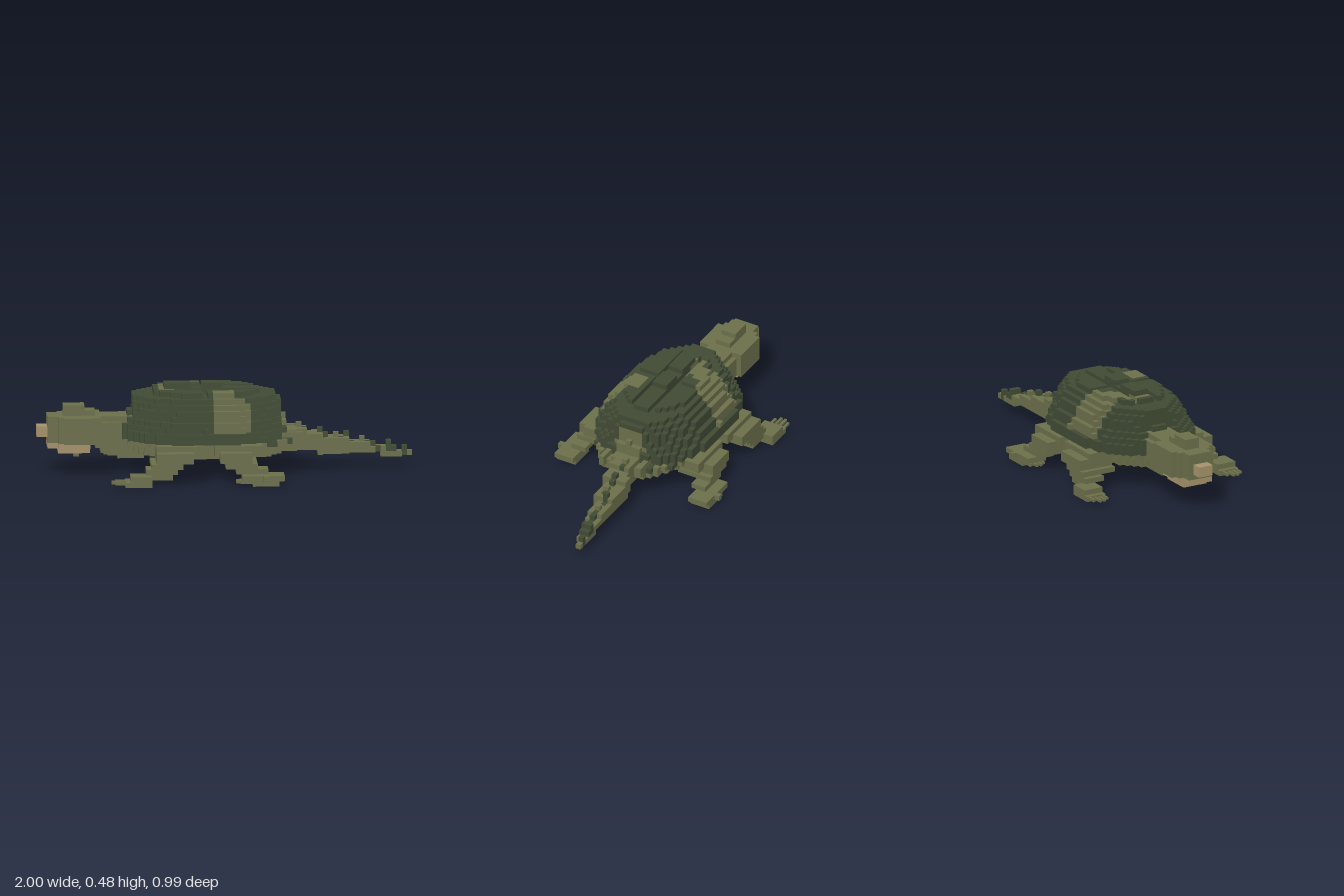
import * as THREE from 'three';
import { mergeGeometries } from 'three/addons/utils/BufferGeometryUtils.js';

const U = 2 / 71; // edge of one cube

export function createModel() {
  const model = new THREE.Group();
  const mats = {
    skin: new THREE.MeshStandardMaterial({ color: 0x6b6f4a, name: 'oliveSkin' }),
    shell: new THREE.MeshStandardMaterial({ color: 0x404a34, name: 'darkShell' }),
    tan: new THREE.MeshStandardMaterial({ color: 0xa5926a, name: 'tanHorn' }),
  };

  // Grid of cubes; each cell remembers its part and colour
  const cells = new Map();
  const key = (i, j, k) => `${i},${j},${k}`;
  function fill(part, [x0, x1, y0, y1, z0, z1], colour) {
    const pick = typeof colour === 'function' ? colour : () => colour;
    for (let i = 0; i < 71; i++) {
      const x = -1 + (i + 0.5) * U;
      if (x < x0 || x > x1) continue;
      for (let j = 0; j < 17; j++) {
        const y = (j + 0.5) * U;
        if (y < y0 || y > y1) continue;
        for (let k = -18; k <= 18; k++) {
          const z = k * U;
          if (z < z0 || z > z1) continue;
          const c = pick(x, y, z);
          if (c) cells.set(key(i, j, k), { i, j, k, part, c });
        }
      }
    }
  }
  const oval = (x, z, x0, x1, az, p = 2.2) =>
    Math.abs((x - (x0 + x1) / 2) / ((x1 - x0) / 2)) ** p + Math.abs(z / az) ** p < 1;

  // Body, with a tan ring and an olive centre underneath
  fill('body', [-0.6, 0.45, 0.14, 0.2, -0.3, 0.3], (x, y, z) =>
    oval(x, z, -0.56, 0.4, y < 0.17 ? 0.27 : 0.3) && 'skin');
  fill('bodyRim', [-0.6, 0.45, 0.113, 0.14, -0.3, 0.3], (x, y, z) =>
    oval(x, z, -0.5, 0.32, 0.25) && 'skin');
  fill('plastron', [-0.6, 0.4, 0.113, 0.14, -0.3, 0.3], (x, y, z) =>
    oval(x, z, -0.45, 0.26, 0.21) && 'tan');
  fill('plastron', [-0.4, 0.3, 0.085, 0.113, -0.2, 0.2], (x, y, z) =>
    oval(x, z, -0.3, 0.1, 0.12) && 'skin');

  // Domed shell: one oval per layer [half width, front x, rear x]
  const layers = [
    [0.335, -0.56, 0.34], [0.335, -0.56, 0.33], [0.31, -0.56, 0.32], [0.305, -0.53, 0.31],
    [0.28, -0.51, 0.3], [0.275, -0.5, 0.3], [0.25, -0.5, 0.29], [0.22, -0.49, 0.28], [0.19, -0.39, 0.18],
  ];
  const shellColour = (x, y, z) => {
    if (z > 0.1 && x > -0.07 && x < 0.12 - (z < 0.18 ? 0.07 : 0) && y > 0.24) return 'skin';
    if (y > 0.24 && x > -0.33 && z < -0.24 && x < -0.1) return 'skin';
    if (x > -0.31 && z < -0.16 && x < -0.1 && y > 0.24) return 'skin';
    if (x > -0.3 && x < -0.17 && z < -0.1) return y > 0.24 && 'skin' || 'shell';
    if (z >= -0.1 && z < 0.05 && x > -0.34 && x < (z < -0.04 ? -0.22 : -0.28) && y > 0.4) return 'skin';
    if (x > 0.2 && Math.abs(z) < (y > 0.28 ? 0.075 : 0.1) && y > 0.25 && y < 0.37) return 'skin';
    return 'shell';
  };
  // Shallow grooves part the scutes on the crown
  const groove = (x, z) => Math.abs(z) > 0.05 && (Math.abs(z) < 0.08 || Math.abs(x + 0.11) < 0.015);
  layers.forEach(([az, x0, x1], n) => {
    const y = (n + 7.5) * U;
    fill('shell', [-0.6, 0.4, y - 0.01, y + 0.01, -0.34, 0.34], (px, py, z) =>
      oval(px, z, x0, x1, az) && !(n === 8 && groove(px, z)) && shellColour(px, py, z));
  });
  // Keel bumps and hanging rear scutes
  fill('shellKeel', [-0.325, -0.18, 0.45, 0.48, -0.04, 0.04], 'shell');
  fill('shellKeel', [-0.125, -0.015, 0.45, 0.48, -0.04, 0.04], 'shell');
  for (const s of [-1, 1]) {
    for (const [x, z] of [[0.32, 0.14], [0.24, 0.225], [0.1, 0.3]])
      fill('shellMargin', [x - 0.04, x + 0.02, 0.17, 0.2, s * z - 0.015, s * z + 0.015], 'shell');
    fill('rearScute', [0.28, 0.4, 0.17, 0.225, s * 0.11 - 0.015, s * 0.11 + 0.015], 'skin');
  }

  // Neck and head
  fill('neck', [-0.7, -0.48, 0.14, 0.31, -0.1, 0.1], (x, y, z) =>
    (Math.abs(z) < 0.075 || (y > 0.16 && y < 0.28)) && 'skin');
  fill('neck', [-0.66, -0.4, 0.113, 0.14, -0.075, 0.075], 'skin');
  fill('head', [-0.94, -0.67, 0.17, 0.31, -0.13, 0.13], (x, y, z) => {
    const w = x < -0.9 ? 0.075 : x < -0.86 ? 0.1 : 0.13;
    return Math.abs(z) < w && 'skin';
  });
  fill('headCrest', [-0.86, -0.75, 0.31, 0.37, -0.045, 0.045], 'skin');
  fill('headCrest', [-0.75, -0.68, 0.31, 0.34, -0.045, 0.045], 'skin');
  fill('jaw', [-0.94, -0.72, 0.14, 0.17, -0.1, 0.1], (x, y, z) =>
    Math.abs(z) < (x < -0.9 ? 0.075 : 0.1) && 'tan');
  fill('jaw', [-0.9, -0.72, 0.113, 0.14, -0.075, 0.075], 'tan');
  fill('chinBarbel', [-0.81, -0.78, 0.085, 0.113, -0.015, 0.015], 'skin');
  fill('beak', [-1, -0.94, 0.197, 0.255, -0.04, 0.04], 'tan');

  // Tapering tail, curving to one side
  const tailAt = (x) => {
    const t = (x - 0.3) / 0.7;
    return { top: 0.25 - 0.17 * t ** 0.85, bottom: 0.115 - 0.06 * t, mid: -0.005 - 0.08 * t, half: 0.075 - 0.06 * t };
  };
  fill('tail', [0.3, 1, 0.05, 0.26, -0.14, 0.12], (x, y, z) => {
    const { top, bottom, mid, half } = tailAt(x);
    return y < top && y > bottom && Math.abs(z - mid) < half && 'skin';
  });
  // Row of tail spikes
  [0.4, 0.5, 0.58, 0.65, 0.72, 0.79, 0.87, 0.95].forEach((x, n) => {
    const { top, mid } = tailAt(x);
    fill('tailSpike', [x - 0.014, x + 0.014, top - 0.03, top + 0.028, mid - 0.015, mid + 0.015],
      n % 2 || x > 0.75 ? 'shell' : 'skin');
    // Dark scale behind each spike
    if (x < 0.9)
      fill('tailScale', [x + 0.014, x + 0.042, top - 0.035, top - 0.006, mid - 0.015, mid + 0.015], 'shell');
  });

  // Legs and feet, mirrored across z
  function leg(name, boxes) {
    for (const s of [-1, 1])
      for (const [x0, x1, y0, y1, z0, z1] of boxes)
        fill(name, [x0, x1, y0, y1, s > 0 ? z0 : -z1, s > 0 ? z1 : -z0], 'skin');
  }
  leg('frontLeg', [
    [-0.38, -0.14, 0.14, 0.2, 0.18, 0.35], [-0.37, -0.19, 0.11, 0.17, 0.2, 0.405],
    [-0.41, -0.25, 0.085, 0.113, 0.2, 0.405], [-0.43, -0.27, 0.056, 0.085, 0.3, 0.405],
    [-0.53, -0.3, 0.028, 0.056, 0.35, 0.405], [-0.53, -0.4, 0.028, 0.056, 0.35, 0.465],
    [-0.56, -0.4, 0, 0.028, 0.35, 0.465],
  ]);
  leg('hindLeg', [
    [-0.06, 0.17, 0.14, 0.2, 0.18, 0.35], [-0.04, 0.13, 0.11, 0.17, 0.2, 0.405],
    [-0.02, 0.15, 0.085, 0.113, 0.2, 0.405], [0.03, 0.2, 0.056, 0.085, 0.32, 0.405],
    [0.08, 0.29, 0.028, 0.056, 0.35, 0.465], [0.12, 0.27, 0, 0.028, 0.35, 0.465],
    [0.18, 0.21, 0.028, 0.056, 0.46, 0.495],
  ]);

  // Keep only the exposed cube faces, one mesh per part and colour
  const faces = [[1, 0, 0], [-1, 0, 0], [0, 1, 0], [0, -1, 0], [0, 0, 1], [0, 0, -1]].map((d) => {
    const g = new THREE.PlaneGeometry(U, U).translate(0, 0, U / 2);
    if (d[0]) g.rotateY(d[0] * Math.PI / 2);
    if (d[1]) g.rotateX(-d[1] * Math.PI / 2);
    if (d[2] < 0) g.rotateY(Math.PI);
    return { d, g };
  });
  const groups = {};
  for (const { i, j, k, part, c } of cells.values())
    for (const { d, g } of faces)
      if (!cells.has(key(i + d[0], j + d[1], k + d[2])))
        ((groups[part] ??= {})[c] ??= []).push(
          g.clone().translate(-1 + (i + 0.5) * U, (j + 0.5) * U, k * U));
  for (const [part, colours] of Object.entries(groups)) {
    const group = new THREE.Group();
    group.name = part;
    for (const [c, list] of Object.entries(colours)) {
      const mesh = new THREE.Mesh(mergeGeometries(list), mats[c]);
      mesh.name = `${part} ${mats[c].name}`;
      group.add(mesh);
    }
    model.add(group);
  }

  // Thin claws
  function claw(name, length, x, z) {
    const mesh = new THREE.Mesh(new THREE.BoxGeometry(length, 0.014, 0.014), mats.skin);
    mesh.name = name;
    mesh.position.set(x, 0.02, z);
    model.add(mesh);
  }
  for (const s of [-1, 1])
    for (let n = 0; n < 4; n++) {
      const z = s * (0.372 + n * 0.026);
      const reach = n === 1 || n === 2 ? 0.02 : 0;
      claw('frontClaw', 0.06, -0.572 - reach, z);
      claw('hindClaw', 0.08, 0.1 - reach, z);
    }
  return model;
}
